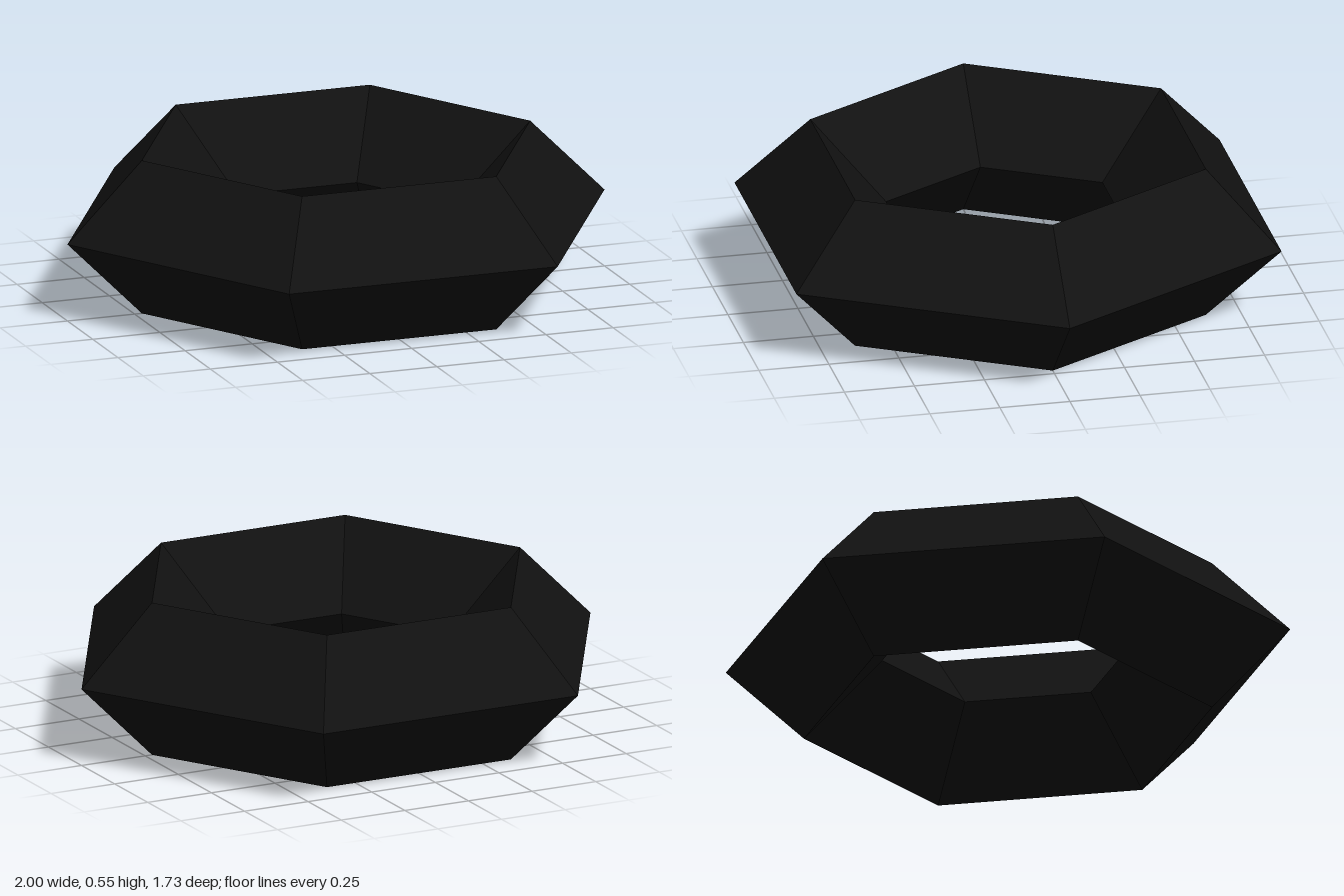
import * as THREE from 'three';

export function createModel() {
  const group = new THREE.Group();
  group.name = 'hexagonalRing';

  const black = new THREE.MeshStandardMaterial({ color: 0x111111, flatShading: true });
  black.name = 'black';

  // Six-sided ring with a diamond cross-section, lying flat
  const ringRadius = 0.723;
  const tubeRadius = 0.277;
  const geometry = new THREE.TorusGeometry(ringRadius, tubeRadius, 4, 6);
  geometry.rotateX(-Math.PI / 2);
  geometry.translate(0, tubeRadius, 0);

  const ring = new THREE.Mesh(geometry, black);
  ring.name = 'ring';
  group.add(ring);
  return group;
}
